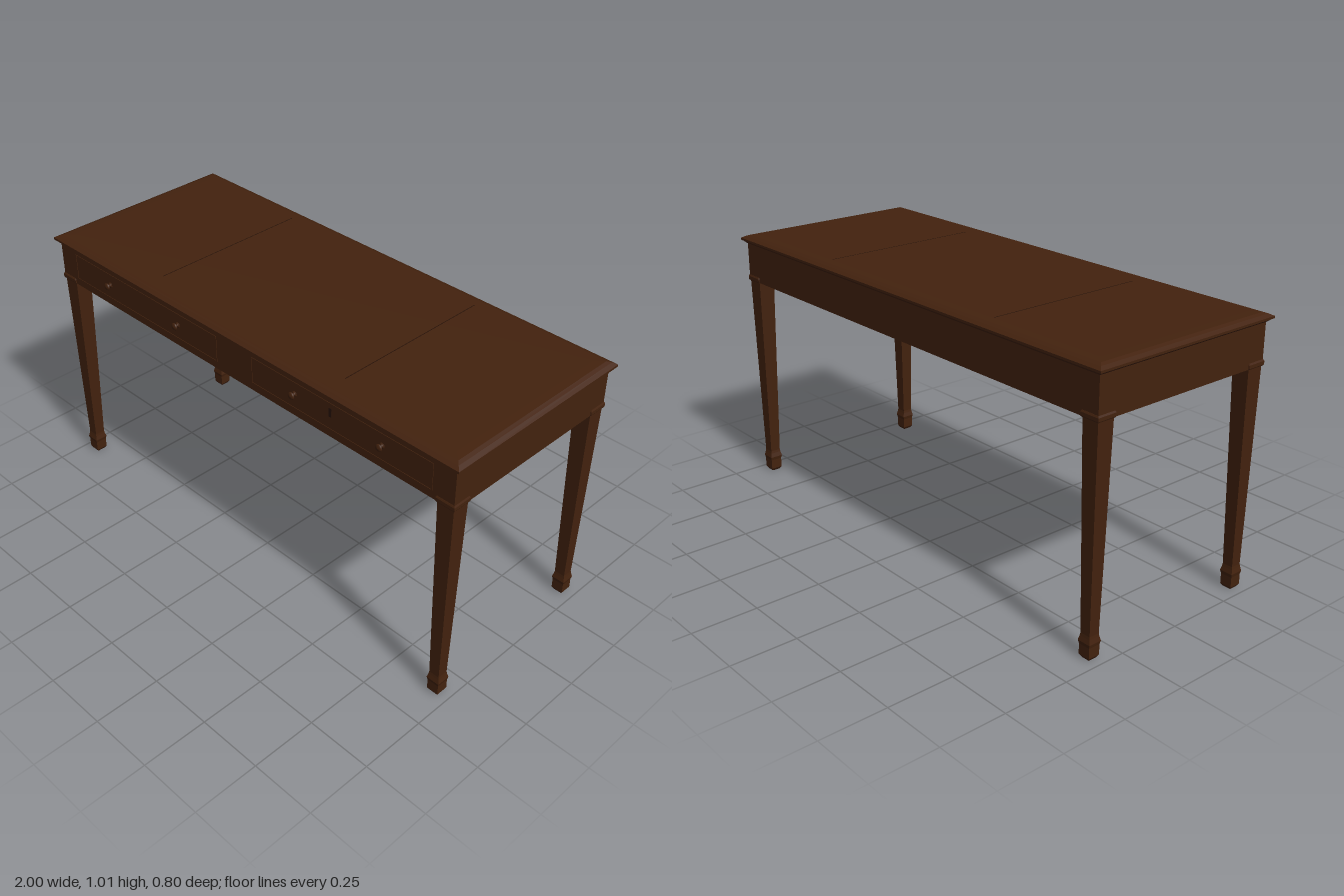
import * as THREE from 'three';

const wood = new THREE.MeshStandardMaterial({ color: 0x43220e });
wood.name = 'dark walnut';
const shade = new THREE.MeshStandardMaterial({ color: 0x271207 });
shade.name = 'dark groove';

// Stacks rectangular sections [y, halfX, halfZ, shiftX, shiftZ] into a closed solid with hard edges
function loft(sections) {
  const pos = [];
  const rings = sections.map(([y, hx, hz, cx = 0, cz = 0]) =>
    [[-1, 1], [1, 1], [1, -1], [-1, -1]].map(([a, b]) => [cx + a * hx, y, cz + b * hz]));
  const quad = (a, b, c, d) => pos.push(...a, ...b, ...c, ...a, ...c, ...d);
  for (let i = 0; i < rings.length - 1; i++) {
    for (let k = 0; k < 4; k++) {
      const n = (k + 1) % 4;
      quad(rings[i][k], rings[i][n], rings[i + 1][n], rings[i + 1][k]);
    }
  }
  quad(...rings[rings.length - 1]);
  quad(...[...rings[0]].reverse());
  const g = new THREE.BufferGeometry();
  g.setAttribute('position', new THREE.Float32BufferAttribute(pos, 3));
  g.computeVertexNormals();
  return g;
}

export function createModel() {
  const model = new THREE.Group();
  model.name = 'writingTable';

  const add = (name, geometry, material = wood, x = 0, y = 0, z = 0, parent = model) => {
    const mesh = new THREE.Mesh(geometry, material);
    mesh.name = name;
    mesh.position.set(x, y, z);
    parent.add(mesh);
    return mesh;
  };
  const box = (name, w, h, d, x, y, z, material = wood, parent = model) =>
    add(name, new THREE.BoxGeometry(w, h, d), material, x, y, z, parent);

  // Moulded top with a sloping edge
  add('tableTop', loft([
    [0.985, 0.983, 0.383], [0.993, 0.992, 0.391], [0.997, 1.0, 0.398],
    [1.005, 1.0, 0.398], [1.013, 0.985, 0.383], [1.018, 0.972, 0.37], [1.019, 0.94, 0.34],
  ]));

  // Fine seams dividing the top into three panels
  for (const x of [-0.46, 0.45]) box('topSeam', 0.003, 0.002, 0.64, x, 1.0185, -0.015, shade);

  // Closed apron case
  add('apron', loft([[0.835, 0.98, 0.38], [0.99, 0.98, 0.38]]));

  // Tapered square legs with spade feet and corner collars
  const legGeo = loft([
    [0.005, 0.016, 0.016, 0, 0.003], [0.016, 0.023, 0.023, 0, 0.003],
    [0.055, 0.023, 0.023, 0, 0.003], [0.068, 0.026, 0.026, 0, 0.003],
    [0.085, 0.022, 0.022, 0, 0.003], [0.095, 0.0205, 0.0205, 0, 0.003],
    [0.84, 0.033, 0.033, 0, 0],
  ]);
  for (const sx of [-1, 1]) {
    for (const sz of [-1, 1]) {
      const leg = add(sz > 0 ? 'frontLeg' : 'backLeg', legGeo, wood, sx * 0.945, 0, sz * 0.345);
      if (sz < 0) leg.rotation.y = Math.PI;
      add('legCollar', loft([
        [0.834, 0.036, 0.036], [0.838, 0.038, 0.038], [0.85, 0.038, 0.038], [0.856, 0.035, 0.035],
      ]), wood, sx * 0.946, 0, sz * 0.346);
    }
  }

  // Two drawers with raised beading and turned knobs
  const knobGeo = new THREE.LatheGeometry([
    [0.011, 0], [0.011, 0.002], [0.005, 0.004], [0.005, 0.01],
    [0.012, 0.012], [0.014, 0.016], [0.011, 0.02], [0, 0.022],
  ].map(([r, h]) => new THREE.Vector2(r, h)), 16);
  for (const s of [-1, 1]) {
    const drawer = new THREE.Group();
    drawer.name = s < 0 ? 'rightDrawer' : 'leftDrawer';
    drawer.position.set(s * 0.49, 0.915, 0.38);
    model.add(drawer);
    for (const e of [-1, 1]) {
      box('drawerBead', 0.8, 0.004, 0.004, 0, e * 0.05, 0, wood, drawer);
      box('drawerBead', 0.004, 0.104, 0.004, e * 0.4, 0, 0, wood, drawer);
      add('knob', knobGeo, wood, e * 0.194, 0.005, 0, drawer).rotation.x = Math.PI / 2;
    }
  }

  // Keyhole plate on the left drawer
  box('keyhole', 0.012, 0.034, 0.004, 0.46, 0.93, 0.38, shade);

  return model;
}
